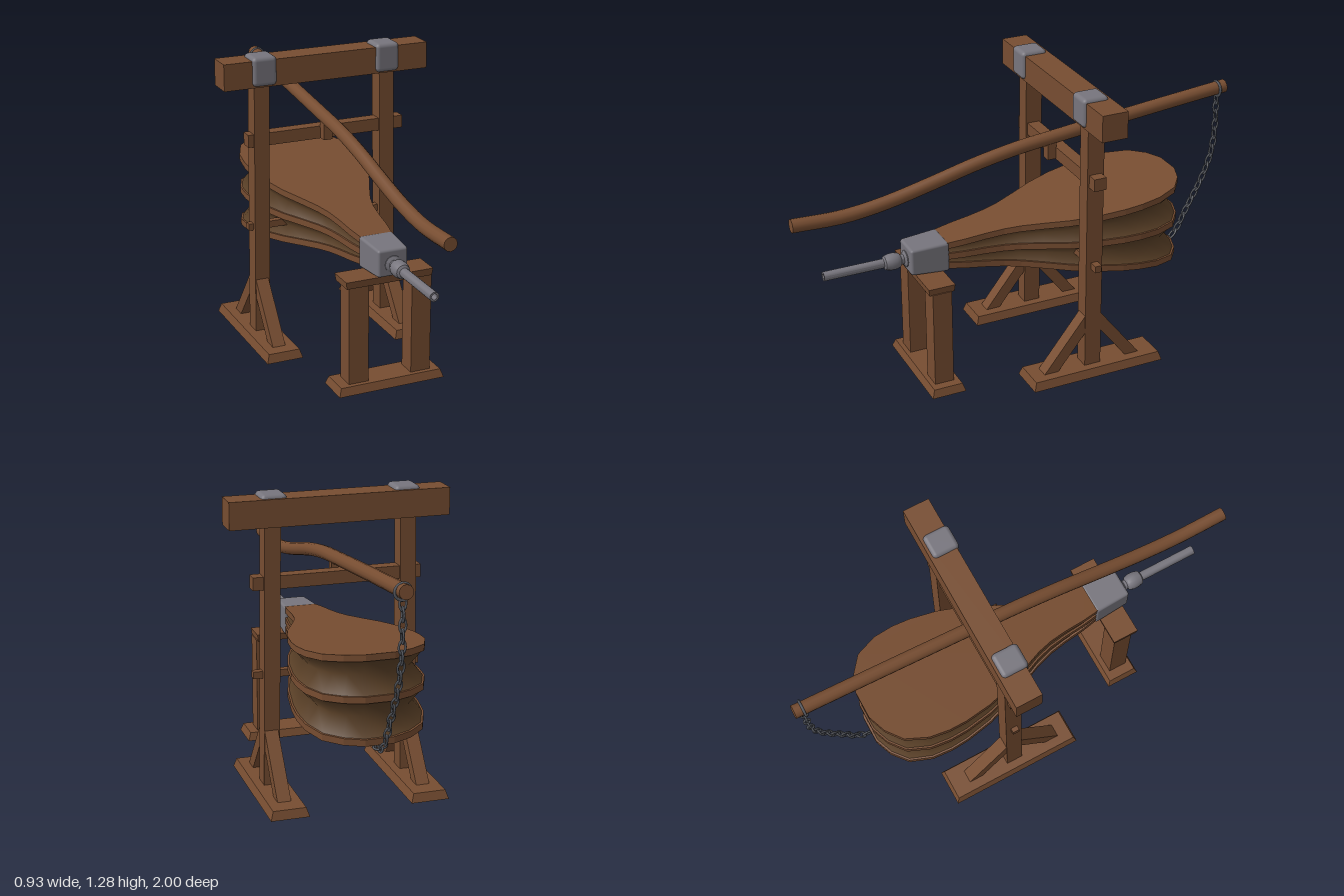
import * as THREE from 'three';
import { toCreasedNormals } from 'three/addons/utils/BufferGeometryUtils.js';
import { RoundedBoxGeometry } from 'three/addons/geometries/RoundedBoxGeometry.js';

const material = (name, color, extra = {}) => {
  const m = new THREE.MeshStandardMaterial({ color, ...extra });
  m.name = name;
  return m;
};

export function createModel() {
  const wood = material('wood', 0x774d31);
  const leather = material('leather', 0x5a4027, { side: THREE.DoubleSide });
  const steel = material('steel', 0x77757d);
  const iron = material('chain iron', 0x565960);

  const model = new THREE.Group();
  model.name = 'forgeBellows';
  const CX = -0.01; // centre line of bellows and lever

  const add = (name, geometry, mat, parent = model) => {
    const mesh = new THREE.Mesh(geometry, mat);
    mesh.name = name;
    parent.add(mesh);
    return mesh;
  };

  // Box from its limits; the top can be inset and shifted sideways
  const beam = (name, [x0, x1], [y0, y1], [z0, z1], inset = 0, lean = 0) => {
    const g = new THREE.BoxGeometry(x1 - x0, y1 - y0, z1 - z0);
    const p = g.attributes.position;
    for (let i = 0; i < p.count; i++) {
      if (p.getY(i) < 0) continue;
      p.setX(i, p.getX(i) - Math.sign(p.getX(i)) * inset + lean);
      p.setZ(i, p.getZ(i) - Math.sign(p.getZ(i)) * inset);
    }
    g.translate((x0 + x1) / 2, (y0 + y1) / 2, (z0 + z1) / 2);
    g.computeVertexNormals();
    return add(name, g, wood);
  };

  // Frame: two posts on feet, with diagonal braces and iron caps
  for (const s of [-1, 1]) {
    const c = s * 0.3 + CX + s * 0.002;
    beam('foot', [c - 0.082, c + 0.082], [0, 0.038], [-0.515, 0.1], 0.012);
    beam('post', [c - 0.034, c + 0.034], [0.035, 1.16], [-0.235, -0.16], 0, -s * 0.014);
    for (const d of [-1, 1]) {
      const z = (v) => -0.1975 + d * v;
      const shape = new THREE.Shape([
        [z(0.03), 0.29], [z(0.228), 0.036], [z(0.163), 0.036], [z(0.03), 0.205],
      ].map(([a, b]) => new THREE.Vector2(a, b)));
      const g = new THREE.ExtrudeGeometry(shape, { depth: 0.058, bevelEnabled: false });
      g.rotateY(-Math.PI / 2).translate(c + 0.029, 0, 0);
      add('brace', g, wood);
    }
    const cap = new RoundedBoxGeometry(0.108, 0.125, 0.115, 3, 0.018);
    cap.translate(s * 0.282 + CX, 1.218, -0.188);
    add('beamCap', cap, steel);
  }
  beam('topBeam', [-0.47, 0.462], [1.15, 1.265], [-0.257, -0.143]);
  beam('upperCrossbar', [-0.36, 0.36], [0.885, 0.94], [-0.223, -0.168]);
  beam('lowerCrossbar', [-0.36, 0.36], [0.505, 0.535], [-0.212, -0.182]);
  beam('leverRest', [CX - 0.02, CX + 0.02], [0.887, 0.965], [-0.17, -0.13]);

  // Front stand under the nozzle
  beam('standBase', [-0.24, 0.236], [0, 0.035], [0.358, 0.51], 0.012);
  for (const s of [-1, 1]) {
    const c = s * 0.141;
    beam('standLeg', [c - 0.044, c + 0.044], [0.034, 0.468], [0.393, 0.478]);
  }
  beam('standTop', [-0.2, 0.18], [0.465, 0.496], [0.38, 0.49], -0.004);

  // Curved lever
  const leverPath = new THREE.CatmullRomCurve3([
    [1, 0.815], [0.78, 0.81], [0.6, 0.832], [0.4, 0.876], [0.2, 0.925], [0, 0.962],
    [-0.2, 0.985], [-0.6, 1.027], [-1, 1.066],
  ].map(([z, y]) => new THREE.Vector3(CX, y, z)));
  add('lever', new THREE.TubeGeometry(leverPath, 40, 0.029, 12), wood);
  for (const [t, flip] of [[0, Math.PI], [1, 0]]) {
    const end = add('leverEnd', new THREE.CircleGeometry(0.029, 12), wood);
    const p = leverPath.getPointAt(t);
    const dir = leverPath.getTangentAt(t).multiplyScalar(flip ? -1 : 1);
    end.position.copy(p);
    end.lookAt(p.clone().add(dir));
  }

  // Bellows outline: half width against z, mirrored
  const half = [
    [0.068, 0.37], [0.082, 0.28], [0.09, 0.19], [0.102, 0.11], [0.122, 0.04], [0.16, -0.05],
    [0.205, -0.15], [0.238, -0.26], [0.257, -0.38], [0.26, -0.46], [0.25, -0.55],
    [0.21, -0.645], [0.14, -0.7], [0.06, -0.73],
  ];
  const outline = [...half, ...half.slice().reverse().map(([x, z]) => [-x, z])]
    .map(([x, z]) => new THREE.Vector2(x, z));

  // Boards fan out towards the back; y is the underside of each board
  const T = 0.028;
  const boardY = [
    (z) => 0.504 + (z - 0.35) * 0.125,
    (z) => 0.547 + (z - 0.35) * 0.001,
    (z) => 0.598 - (z - 0.35) * 0.112,
  ];
  ['lowerBoard', 'middleBoard', 'upperBoard'].forEach((name, k) => {
    const shape = new THREE.Shape(outline.map((p) => new THREE.Vector2(p.x, -p.y)));
    const g = new THREE.ExtrudeGeometry(shape, { depth: T, bevelEnabled: false });
    g.rotateX(-Math.PI / 2);
    const p = g.attributes.position;
    for (let i = 0; i < p.count; i++) p.setY(i, p.getY(i) + boardY[k](p.getZ(i)));
    g.translate(CX, 0, 0);
    g.computeVertexNormals();
    add(name, g, wood);
  });

  // Leather folds: V-shaped skin pulled in between neighbouring boards
  for (const k of [0, 1]) {
    const pos = [], index = [];
    const rows = 3;
    outline.forEach((p, i) => {
      const a = outline[Math.max(i - 1, 0)];
      const b = outline[Math.min(i + 1, outline.length - 1)];
      const n = new THREE.Vector2(b.y - a.y, a.x - b.x).normalize();
      if (n.x * p.x + n.y * (p.y + 0.4) < 0) n.negate();
      const low = boardY[k](p.y) + T, high = boardY[k + 1](p.y);
      for (let r = 0; r < rows; r++) {
        const f = r / (rows - 1);
        const inset = 0.008 + (high - low) * 0.4 * (1 - Math.abs(2 * f - 1));
        pos.push(p.x - n.x * inset + CX, low + (high - low) * f, p.y - n.y * inset);
        if (i && r) {
          const c = i * rows + r, d = c - rows;
          index.push(d - 1, d, c - 1, d, c, c - 1);
        }
      }
    });
    const g = new THREE.BufferGeometry();
    g.setAttribute('position', new THREE.Float32BufferAttribute(pos, 3));
    g.setIndex(index);
    g.computeVertexNormals();
    add('leatherFold', g, leather);
  }

  // Nozzle: tapered block, stepped collar and hollow pipe
  const block = new RoundedBoxGeometry(0.152, 0.134, 0.168, 2, 0.012);
  const bp = block.attributes.position;
  for (let i = 0; i < bp.count; i++) {
    const k = 0.93 - (bp.getZ(i) / 0.168) * 0.14;
    bp.setXY(i, bp.getX(i) * k, bp.getY(i) * k);
  }
  block.translate(CX, 0.561, 0.434);
  add('nozzleBlock', block, steel);
  const profile = [
    [0.036, 0.505], [0.036, 0.522], [0.022, 0.53], [0.022, 0.542], [0.03, 0.548],
    [0.036, 0.565], [0.036, 0.59], [0.03, 0.612], [0.02, 0.618], [0.02, 0.88],
    [0.012, 0.88], [0.012, 0.8], [0, 0.8],
  ].map(([r, h]) => new THREE.Vector2(r, h));
  const pipe = toCreasedNormals(new THREE.LatheGeometry(profile, 16), 0.6);
  pipe.rotateX(Math.PI / 2).translate(CX, 0.556, 0);
  add('nozzlePipe', pipe, steel);

  // Chain from the lever end to the lower board
  const chain = new THREE.Group();
  chain.name = 'chain';
  model.add(chain);
  const chainPath = new THREE.CatmullRomCurve3([
    [-0.962, 1.035], [-0.965, 0.9], [-0.955, 0.77], [-0.925, 0.67], [-0.88, 0.575],
    [-0.835, 0.49], [-0.795, 0.41], [-0.75, 0.362], [-0.7, 0.345], [-0.635, 0.352],
  ].map(([z, y]) => new THREE.Vector3(CX, y, z)));
  const link = new THREE.TorusGeometry(0.0135, 0.0048, 6, 12).scale(1, 1.85, 1);
  const LINKS = 20;
  const up = new THREE.Vector3(0, 1, 0);
  for (let i = 0; i < LINKS; i++) {
    const t = (i + 0.5) / LINKS;
    const mesh = add('chainLink', link, iron, chain);
    mesh.position.copy(chainPath.getPointAt(t));
    mesh.quaternion.setFromUnitVectors(up, chainPath.getTangentAt(t).negate());
    mesh.rotateY(i % 2 ? Math.PI / 2 : 0);
  }
  const leverRing = add('leverRing', new THREE.TorusGeometry(0.033, 0.006, 6, 18), iron, chain);
  leverRing.position.set(CX, 1.058, -0.962);
  const boardRing = add('boardRing', new THREE.TorusGeometry(0.026, 0.007, 6, 18), iron, chain);
  boardRing.rotation.y = Math.PI / 2;
  boardRing.position.set(CX, 0.366, -0.625);

  return model;
}
